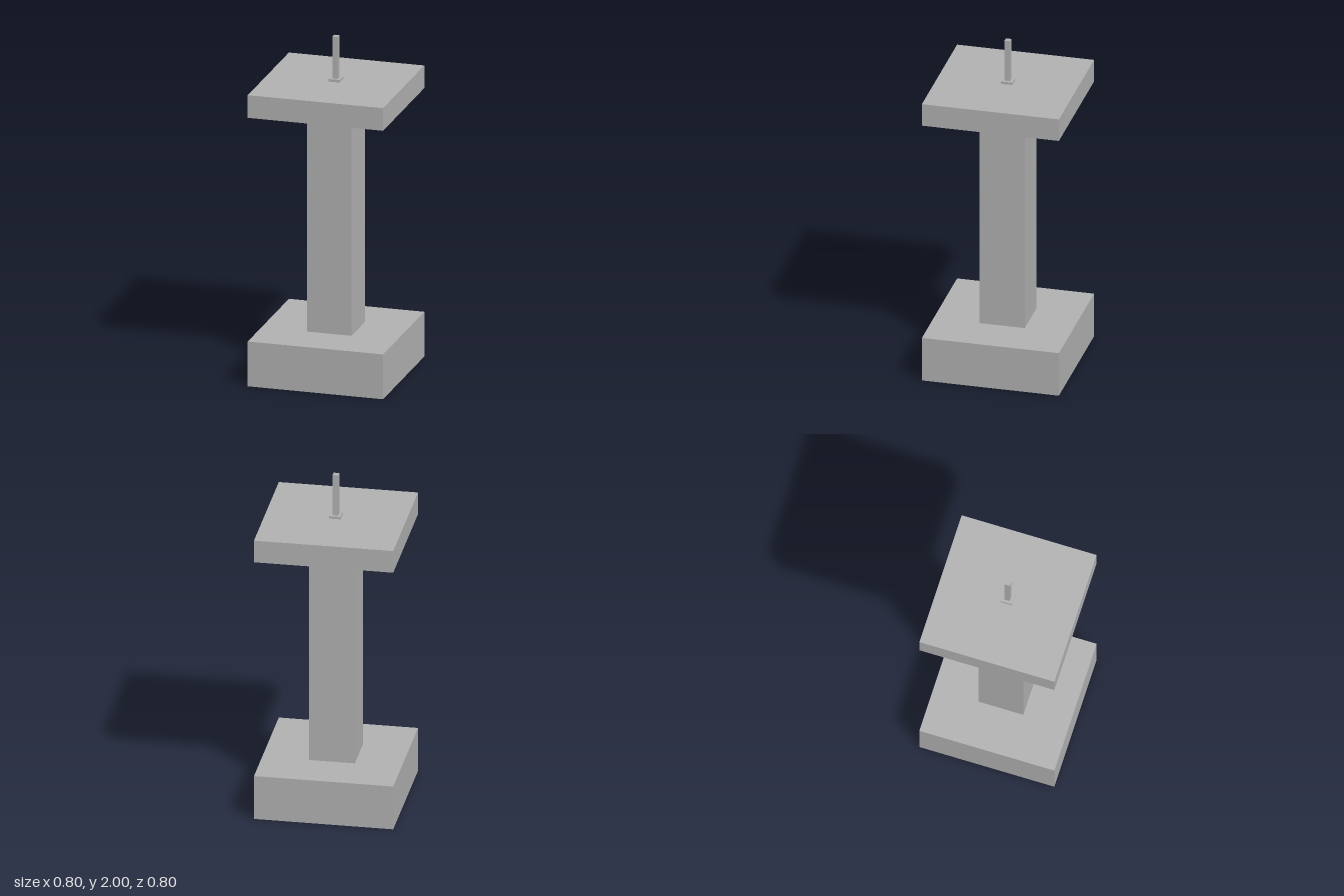
import * as THREE from 'three';

export function createModel() {
  const model = new THREE.Group();
  model.name = 'pedestal';

  const stone = new THREE.MeshStandardMaterial({ color: 0xb2b2b2 });
  stone.name = 'grey stone';
  stone.flatShading = true;
  stone.side = THREE.DoubleSide; // hollow shell, open underneath

  // Square shell: a four-sided lathe of [half width, height] steps
  function squareShell(name, profile) {
    const points = profile.map(([half, y]) => new THREE.Vector2(half * Math.SQRT2, y));
    const geometry = new THREE.LatheGeometry(points, 4, Math.PI / 4);
    const mesh = new THREE.Mesh(geometry, stone);
    mesh.name = name;
    model.add(mesh);
  }

  // Base: walls and a top face that opens into the hollow column
  squareShell('base', [[0.4, 0], [0.4, 0.267], [0.132, 0.267]]);

  // Column
  squareShell('column', [[0.132, 0.267], [0.132, 1.6]]);

  // Cap slab: underside around the column, walls and top
  squareShell('capSlab', [[0.132, 1.6], [0.4, 1.6], [0.4, 1.735], [0.033, 1.735]]);

  // Small foot and thin mast on the cap
  squareShell('mastFoot', [[0.033, 1.735], [0.033, 1.75], [0.0165, 1.75]]);
  squareShell('mast', [[0.0165, 1.75], [0.0165, 2], [0, 2]]);

  return model;
}
